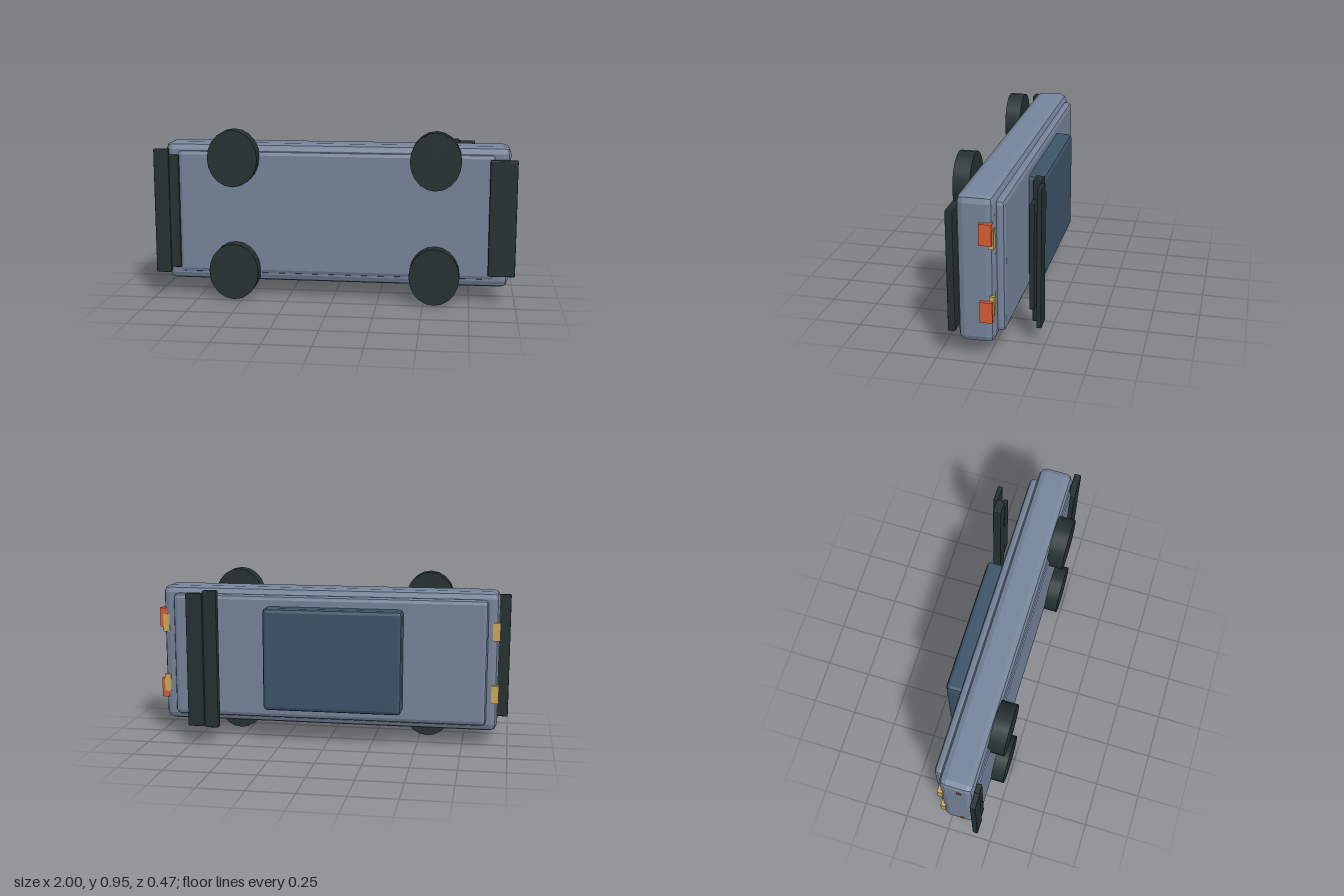
import * as THREE from 'three';
import { RoundedBoxGeometry } from 'three/addons/geometries/RoundedBoxGeometry.js';

const mat = (name, color) => {
  const m = new THREE.MeshStandardMaterial({ color });
  m.name = name;
  return m;
};

export function createModel() {
  const car = new THREE.Group();
  car.name = 'car';
  const paint = mat('bluegrey paint', 0x75849a);
  const glass = mat('dark blue glass', 0x3c5367);
  const black = mat('black trim', 0x243130);
  const orange = mat('orange light', 0xd95c33);
  const amber = mat('amber light', 0xcca758);

  const add = (name, geometry, material) => {
    const mesh = new THREE.Mesh(geometry, material);
    mesh.name = name;
    car.add(mesh);
    return mesh;
  };

  // Box given by its extents on each axis, with a faceted bevel
  const box = (name, [x0, x1], [y0, y1], [z0, z1], bevel, material) => {
    const size = [x1 - x0, y1 - y0, z1 - z0];
    const g = bevel ? new RoundedBoxGeometry(...size, 1, bevel) : new THREE.BoxGeometry(...size);
    g.computeVertexNormals();
    add(name, g, material).position.set((x0 + x1) / 2, (y0 + y1) / 2, (z0 + z1) / 2);
  };

  // The car lies on its side: its roof faces -z and its wheels face +z
  box('body', [-0.94, 0.96], [0.087, 0.865], [-0.04, 0.148], 0.038, paint);
  box('underbody', [-0.87, 0.88], [0.13, 0.825], [0.06, 0.162], 0.025, paint);
  box('deck', [-0.88, 0.89], [0.125, 0.825], [-0.08, 0.03], 0.025, paint);
  box('cabin', [-0.42, 0.355], [0.188, 0.765], [-0.168, -0.02], 0.022, glass);

  // Splitter at the nose and diffuser at the tail
  box('splitter', [-1, -0.915], [0.13, 0.83], [0.15, 0.18], 0.005, black);
  box('splitterInner', [-0.915, -0.86], [0.16, 0.797], [0.146, 0.175], 0.005, black);
  box('diffuser', [0.85, 0.997], [0.16, 0.797], [0.148, 0.187], 0.006, black);

  // Rear wing
  box('wingMain', [0.6, 0.68], [0.09, 0.863], [-0.216, -0.17], 0.006, black);
  box('wingFlap', [0.675, 0.768], [0.1, 0.852], [-0.235, -0.209], 0.005, black);
  box('wingLower', [0.67, 0.745], [0.19, 0.762], [-0.194, -0.168], 0.005, black);

  // Slightly oval wheels
  for (const x of [-0.545, 0.56]) {
    for (const y of [0.158, 0.79]) {
      const g = new THREE.CylinderGeometry(1, 1, 0.088, 20).rotateX(Math.PI / 2);
      g.scale(0.138, 0.157, 1);
      add('wheel', g, black).position.set(x, y, 0.191);
    }
  }

  // Lights, mirrored about the car's centre line
  for (const side of [-1, 1]) {
    const light = (name, x, offset, height, z, material) => {
      const c = 0.475 + side * offset;
      box(name, x, [c - height / 2, c + height / 2], z, 0, material);
    };
    light('tailLight', [0.94, 0.98], 0.205, 0.11, [-0.036, 0.028], orange);
    light('rearMarker', [0.925, 0.962], 0.175, 0.1, [-0.042, -0.016], amber);
    light('headlight', [-0.946, -0.905], 0.175, 0.1, [-0.046, -0.018], amber);
    light('noseMarker', [-0.944, -0.92], 0.32, 0.025, [0.06, 0.085], orange);
  }
  return car;
}
